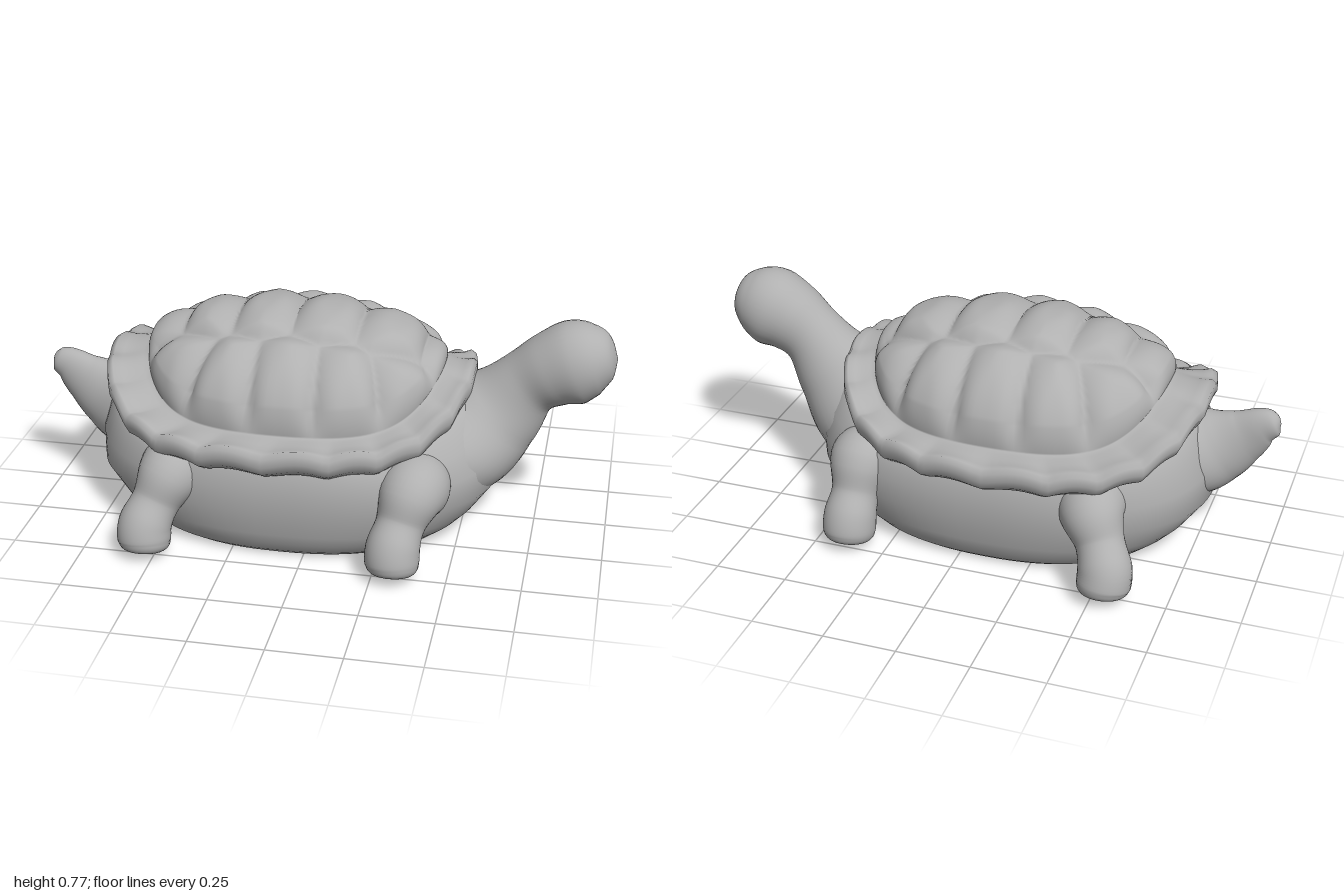
import * as THREE from 'three';
import { mergeVertices } from 'three/addons/utils/BufferGeometryUtils.js';

const TAU = Math.PI * 2;
const stone = new THREE.MeshStandardMaterial({ color: 0xb0b0b0 });
stone.name = 'stone grey';

// Smooth closed skin over rings of equal length, ordered from bottom to top
function skin(name, rings) {
  const n = rings[0].length, index = [];
  for (let r = 0; r < rings.length - 1; r++) {
    for (let i = 0; i < n; i++) {
      const a = r * n + i, b = r * n + (i + 1) % n;
      index.push(a, a + n, b, b, a + n, b + n);
    }
  }
  let geo = new THREE.BufferGeometry();
  geo.setAttribute('position', new THREE.Float32BufferAttribute(rings.flat().flatMap(p => [p.x, p.y, p.z]), 3));
  geo.setIndex(index);
  geo = mergeVertices(geo, 1e-4);
  geo.computeVertexNormals();
  const mesh = new THREE.Mesh(geo, stone);
  mesh.name = name;
  return mesh;
}

// Rounded oval in plan, a little squarer than an ellipse
function oval(theta, hx, hz) {
  const f = v => Math.sign(v) * Math.abs(v) ** (2 / 2.35);
  return [hx * f(Math.cos(theta)), hz * f(Math.sin(theta))];
}

const loop = (n, fn) => Array.from({ length: n }, (_, i) => fn(i / n * TAU));

// Limb along a curve; each point is [x, y, z, vertical radius, side radius]
function limb(name, pts, steps = 48) {
  const path = new THREE.CatmullRomCurve3(pts.map(p => new THREE.Vector3(p[0], p[1], p[2])), false, 'catmullrom');
  const radii = new THREE.CatmullRomCurve3(pts.map(p => new THREE.Vector3(p[3], p[4] ?? p[3], 0)), false, 'catmullrom');
  const up = new THREE.Vector3(0, 1, 0), rings = [];
  for (let k = 0; k <= steps; k++) {
    const c = path.getPoint(k / steps), r = radii.getPoint(k / steps), t = path.getTangent(k / steps);
    const side = new THREE.Vector3().crossVectors(t, up).normalize();
    const vert = new THREE.Vector3().crossVectors(t, side);
    rings.push(loop(36, a => c.clone()
      .addScaledVector(vert, Math.cos(a) * Math.max(0, r.x))
      .addScaledVector(side, Math.sin(a) * Math.max(0, r.y))));
  }
  return skin(name, rings);
}

// Belly: stacked ovals [y, back x, front x, half width, rise at both ends], slightly hollow underneath
function belly() {
  const levels = [
    [0.03, -0.09, -0.08, 0.005, 0], [0.03, -0.5, 0.34, 0.31, 0], [0.005, -0.56, 0.4, 0.37, 0],
    [0.005, -0.6, 0.43, 0.4, 0], [0.025, -0.64, 0.465, 0.425, 0], [0.06, -0.685, 0.515, 0.445, 0],
    [0.1, -0.725, 0.555, 0.46, 0], [0.19, -0.79, 0.62, 0.478, 0], [0.27, -0.79, 0.625, 0.478, 0.03],
    [0.33, -0.76, 0.585, 0.468, 0.07], [0.38, -0.72, 0.52, 0.45, 0.12], [0.43, -0.62, 0.42, 0.36, 0.1],
    [0.5, -0.09, -0.08, 0.005, 0],
  ];
  return skin('belly', levels.map(([y, x0, x1, hz, rise]) => loop(96, a => {
    const [x, z] = oval(a, (x1 - x0) / 2, hz);
    return new THREE.Vector3((x0 + x1) / 2 + x, y + rise * Math.cos(a) ** 4, z);
  })));
}

// Scute centres in plan (x, z)
const scutes = [[-0.58, 0], [-0.41, 0], [-0.2, 0], [0.02, 0], [0.26, 0], [0.47, 0]];
for (const s of [1, -1]) {
  for (const [x, z] of [[-0.52, 0.27], [-0.31, 0.37], [-0.085, 0.38], [0.14, 0.37], [0.36, 0.29]]) scutes.push([x, z * s]);
}

// 0 on a seam between scutes, rising to 1 inside one, with rounded corners
function puff(x, z) {
  const d = scutes.map(s => Math.hypot(x - s[0], z - s[1])).sort((a, b) => a - b);
  const rise = gap => 1 - (1 - Math.min(gap / 0.16, 1)) ** 2;
  return rise(d[1] - d[0]) * rise(d[2] - d[0] + 0.04) * rise(d[3] - d[0] + 0.06);
}

// Shell: rim underside, scalloped lip, then the domed back, in one skin
function shell() {
  const n = 192, rows = 72, rings = [];
  const seat = a => 0.425 + 0.145 * Math.abs(Math.cos(a)) ** 5;
  // Rim profile: [0 at the dome to 1 at the edge, height]
  const rim = [[-0.7, -0.07], [0.25, -0.09], [0.68, -0.085], [0.9, -0.065], [1, -0.035], [0.99, -0.005],
    [0.86, 0.008], [0.64, 0.004], [0.38, 0.006], [0.14, 0.012]];
  rim.forEach(([w, dy]) => rings.push(loop(n, a => {
    const wave = Math.abs(Math.cos(a * 11)) - 0.6;
    const [x, z] = oval(a, 0.52 + 0.125 * w, 0.405 + 0.117 * w);
    return new THREE.Vector3(-0.1 - 0.02 * w + x, seat(a) + dy + 0.022 * Math.max(0, w) * wave, z - 0.007);
  })));
  for (let k = 0; k <= rows; k++) {
    const lift = k / rows * Math.PI / 2, s = k === rows ? 0 : Math.cos(lift);
    rings.push(loop(n, a => {
      const [x, z] = oval(a, 0.52 * s, 0.405 * s);
      const y0 = seat(a) + 0.015;
      const p = new THREE.Vector3(x - 0.1, y0 + (0.762 - y0) * Math.sin(lift), z - 0.007);
      const out = new THREE.Vector3(x, p.y - 0.25, z * 1.2).normalize();
      return p.addScaledVector(out, (puff(p.x, p.z) - 0.6) * 0.036 * Math.min(1, k / 14));
    }));
  }
  return skin('shell', rings);
}

// Leg: broad shoulder set into the belly, short shin and rounded foot
function leg(name, xTop, xFoot, zFoot, side) {
  const at = t => xTop + (xFoot - xTop) * t;
  return limb(name, [
    [xTop, 0.27, 0.22, 0.09], [xTop, 0.275, 0.33, 0.118], [at(0.2), 0.26, zFoot - 0.09, 0.11],
    [at(0.65), 0.185, zFoot - 0.045, 0.083], [xFoot, 0.115, zFoot, 0.091], [xFoot, 0.055, zFoot + 0.017, 0.088],
    [xFoot, 0.028, zFoot + 0.024, 0.06], [xFoot, 0.018, zFoot + 0.027, 0],
  ].map(([x, y, z, r]) => [x, y, z * side, r]));
}

export function createModel() {
  const turtle = new THREE.Group();
  turtle.name = 'turtle';
  turtle.add(belly(), shell());

  // Chest sweeping up through the neck into the round head
  turtle.add(limb('neckAndHead', [
    [0.2, 0.25, 0, 0.14, 0.28], [0.37, 0.275, 0, 0.2, 0.33], [0.51, 0.335, 0, 0.2, 0.265], [0.615, 0.43, 0, 0.16, 0.155],
    [0.7, 0.53, 0.005, 0.12, 0.112], [0.78, 0.59, 0.01, 0.13, 0.124], [0.86, 0.625, 0.01, 0.145, 0.135],
    [0.93, 0.64, 0.01, 0.12, 0.115], [0.98, 0.645, 0.01, 0.07, 0.07], [1, 0.647, 0.01, 0, 0],
  ], 64));

  // Upturned tail
  turtle.add(limb('tail', [
    [-0.6, 0.3, 0, 0.14, 0.2], [-0.73, 0.335, 0, 0.155, 0.15], [-0.81, 0.37, 0, 0.13, 0.09],
    [-0.88, 0.415, 0, 0.095, 0.058], [-0.94, 0.46, 0, 0.066, 0.045], [-0.985, 0.475, 0, 0.042, 0.032], [-1, 0.478, 0, 0, 0],
  ]));

  turtle.add(
    leg('frontLegRight', 0.37, 0.32, 0.49, 1), leg('frontLegLeft', 0.37, 0.38, 0.46, -1),
    leg('hindLegRight', -0.45, -0.53, 0.49, 1), leg('hindLegLeft', -0.45, -0.54, 0.5, -1),
  );
  return turtle;
}
